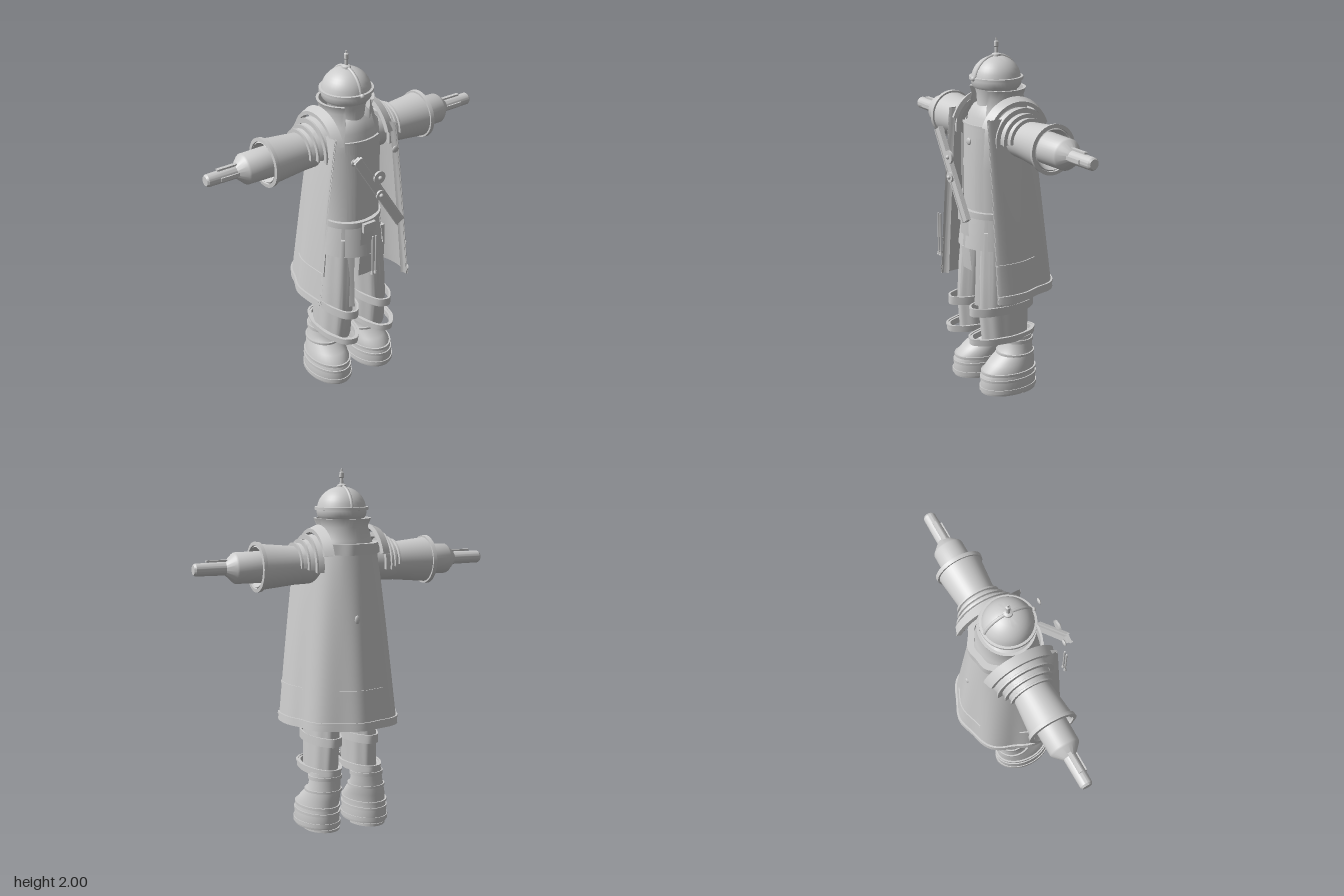
import * as THREE from 'three';
import { mergeVertices, toCreasedNormals } from 'three/addons/utils/BufferGeometryUtils.js';

const grey = new THREE.MeshStandardMaterial({ color: 0xcccccc, side: THREE.DoubleSide });
grey.name = 'light grey';

function add(parent, name, geo, x = 0, y = 0, z = 0) {
  const m = new THREE.Mesh(geo, grey);
  m.name = name;
  m.position.set(x, y, z);
  parent.add(m);
  return m;
}

// Grid surface from a rule f(u, v) -> [x, y, z]
function surface(f, nu, nv, crease = 0.7) {
  const pos = [], idx = [];
  for (let j = 0; j <= nv; j++) for (let i = 0; i <= nu; i++) pos.push(...f(i / nu, j / nv));
  for (let j = 0; j < nv; j++) for (let i = 0; i < nu; i++) {
    const a = j * (nu + 1) + i, b = a + nu + 1;
    idx.push(a, b, a + 1, b, b + 1, a + 1);
  }
  const g = new THREE.BufferGeometry();
  g.setAttribute('position', new THREE.Float32BufferAttribute(pos, 3));
  g.setIndex(idx);
  return toCreasedNormals(mergeVertices(g, 1e-5), crease);
}

// Elliptical sections [y, cx, cz, rx, rz]; the angle runs from the front (+z) towards +x
function loft(secs, t0 = 0, t1 = Math.PI * 2, ripple = 0, n = 40) {
  return surface((u, v) => {
    const [y, cx, cz, rx, rz] = secs[Math.round(v * (secs.length - 1))];
    const t = t0 + (t1 - t0) * (1 - u), k = 1 + ripple * Math.sin(t * 9);
    return [cx + rx * k * Math.sin(t), y, cz + rz * k * Math.cos(t)];
  }, n, secs.length - 1);
}
const closed = s => [[s[0][0], s[0][1], s[0][2], 0, 0], ...s, [s.at(-1)[0], s.at(-1)[1], s.at(-1)[2], 0, 0]];

// Flat-edged band with thickness around an ellipse
function band(y, h, cx, cz, rx, rz, th = 0.012, t0 = 0, t1 = Math.PI * 2, ripple = 0) {
  const o = [[-0.5, -1], [-0.5, 0], [0.5, 0], [0.5, -1], [-0.5, -1]];
  return loft(o.map(([a, b]) => [y + a * h, cx, cz, rx + b * th, rz + b * th]), t0, t1, ripple);
}

const lathe = (pts, seg = 40, p0 = 0, p1 = Math.PI * 2) =>
  toCreasedNormals(new THREE.LatheGeometry(pts.map(p => new THREE.Vector2(...p)), seg, p0, p1), 0.6);
const latheX = (...a) => lathe(...a).rotateZ(-Math.PI / 2);

export function createModel() {
  const root = new THREE.Group();
  root.name = 'cloakedFigure';

  // Helmet: dome, brim, crest and spike
  const dome = [[0, 1.735], [0.125, 1.735], [0.135, 1.75], [0.138, 1.78]];
  for (let i = 1; i <= 10; i++) {
    const a = i / 10 * Math.PI / 2;
    dome.push([0.135 * Math.cos(a), 1.78 + 0.125 * Math.sin(a)]);
  }
  add(root, 'helmetDome', lathe(dome), 0, 0, -0.01);
  add(root, 'helmetBrim', lathe([[0.13, 1.777], [0.147, 1.779], [0.147, 1.795], [0.13, 1.797]]), 0, 0, -0.01);
  add(root, 'helmetCrest', new THREE.TorusGeometry(0.133, 0.009, 8, 32, Math.PI)
    .rotateY(Math.PI / 2).scale(1, 0.95, 1), 0, 1.78, -0.01);
  add(root, 'helmetSpike', lathe([[0.026, 1.9], [0.024, 1.913], [0.01, 1.92], [0.009, 1.95], [0.013, 1.955],
    [0.012, 1.98], [0.005, 1.985], [0.004, 2], [0, 2]], 16), 0, 0, -0.01);
  add(root, 'helmetBadge', new THREE.SphereGeometry(0.014, 12, 8), 0, 1.79, 0.135);

  // Face wrap and collar
  add(root, 'faceWrap', loft([[1.58, 0, 0, 0.1, 0.11], [1.64, 0, 0, 0.085, 0.1], [1.7, 0, -0.01, 0.1, 0.11], [1.75, 0, -0.01, 0.122, 0.122]]));
  add(root, 'collar', loft([[1.54, 0, -0.02, 0.19, 0.17], [1.62, 0, -0.02, 0.16, 0.16], [1.69, 0, -0.02, 0.14, 0.14],
    [1.735, 0, -0.02, 0.16, 0.15], [1.735, 0, -0.02, 0.145, 0.135], [1.62, 0, -0.02, 0.135, 0.14]], 0.6, Math.PI * 2 - 0.6));
  add(root, 'backRoll', band(1.575, 0.06, 0, -0.02, 0.2, 0.205, 0.035, 1.7, Math.PI * 2 - 1.7, 0.025));

  // Torso, bib and belt
  add(root, 'torso', loft(closed([[0.9, 0, 0.01, 0.165, 0.16], [1.05, 0, 0.01, 0.165, 0.15], [1.3, 0, 0.01, 0.17, 0.15],
    [1.48, 0, 0, 0.19, 0.15], [1.58, 0, -0.02, 0.19, 0.15], [1.63, 0, -0.02, 0.15, 0.13], [1.66, 0, -0.02, 0.09, 0.1]])));
  add(root, 'bib', loft([[1.07, 0, 0.01, 0.175, 0.158], [1.3, 0, 0.01, 0.178, 0.16], [1.54, 0, 0, 0.19, 0.163]], -0.62, 0.62));
  add(root, 'bibTrim', band(1.54, 0.012, 0, 0, 0.194, 0.167, 0.012, -0.62, 0.62));
  add(root, 'belt', band(1.045, 0.035, 0, 0.01, 0.18, 0.175, 0.025));
  add(root, 'beltBuckle', new THREE.BoxGeometry(0.08, 0.055, 0.02), 0, 1.035, 0.205);

  // Coat skirt panels with gaps between them
  for (let i = 0; i < 8; i++) {
    const a = i * Math.PI / 4 + 0.06;
    add(root, 'skirtPanel', loft([[0.855, 0, 0.01, 0.175, 0.165], [0.855, 0, 0.015, 0.195, 0.19], [1.03, 0, 0.01, 0.175, 0.175]], a, a + 0.67, 0, 8));
  }
  add(root, 'frontFlap', loft([[0.72, 0, 0.01, 0.2, 0.17], [0.85, 0, 0.01, 0.2, 0.185], [1.03, 0, 0.01, 0.18, 0.19]], -0.25, 0.2, 0, 8));

  for (const s of [-1, 1]) {
    // Trouser leg, with shin and knee bands
    add(root, 'trouserLeg', loft(closed([[0.31, s * 0.12, 0.01, 0.088, 0.14], [0.5, s * 0.115, 0.015, 0.088, 0.155],
      [0.7, s * 0.105, 0.015, 0.09, 0.15], [0.95, s * 0.088, 0.01, 0.086, 0.14]]), 0, Math.PI * 2, 0.02, 72));
    add(root, 'kneeBand', band(0.508, 0.048, s * 0.113, 0.028, 0.092, 0.205, 0.012, 0, Math.PI * 2, 0.01));
    add(root, 'hemBand', band(0.335, 0.034, s * 0.122, 0.03, 0.1, 0.208, 0.02, 0, Math.PI * 2, 0.01));
    add(root, 'hemCord', band(0.352, 0.01, s * 0.122, 0.03, 0.106, 0.213, 0.012, 0, Math.PI * 2, 0.01));
    add(root, 'coatTail', loft([[0.53, 0, 0.01, 0.205, 0.19], [0.7, 0, 0.01, 0.2, 0.18], [0.9, 0, 0.01, 0.185, 0.17]],
      s * 0.4, s * 1.25, 0, 12));
    add(root, 'sidePouch', new THREE.BoxGeometry(0.05, 0.2, 0.1), s * 0.2, 0.8, 0);

    // Boot with ridged bands and a raised heel
    add(root, 'boot', loft(closed([[0.012, s * 0.147, 0.005, 0.115, 0.168], [0.04, s * 0.148, 0.005, 0.12, 0.172],
      [0.1, s * 0.148, 0.003, 0.113, 0.168], [0.14, s * 0.145, 0, 0.11, 0.16], [0.18, s * 0.14, -0.022, 0.105, 0.142],
      [0.22, s * 0.134, -0.05, 0.098, 0.11], [0.26, s * 0.13, -0.064, 0.09, 0.09], [0.33, s * 0.126, -0.066, 0.087, 0.086]])));
    add(root, 'soleBand', band(0.038, 0.022, s * 0.148, 0.005, 0.124, 0.177, 0.012));
    add(root, 'footBand', band(0.098, 0.014, s * 0.147, 0.003, 0.12, 0.175, 0.014));
    add(root, 'instepBand', band(0.132, 0.014, s * 0.146, 0, 0.118, 0.17, 0.016));
    add(root, 'ankleBand', band(0.226, 0.012, s * 0.134, -0.052, 0.104, 0.112, 0.016));
    add(root, 'bootCuff', band(0.3, 0.02, s * 0.128, -0.065, 0.095, 0.094, 0.014));
    add(root, 'heel', loft(closed([[0, s * 0.142, -0.035, 0.1, 0.135], [0.014, s * 0.142, -0.035, 0.1, 0.135]]), Math.PI / 2, Math.PI * 1.5));

    // Arm: flared sleeve, cuff, forearm and simple hand
    const arm = new THREE.Group();
    arm.name = s > 0 ? 'leftArm' : 'rightArm';
    arm.position.set(0, 1.487, -0.03);
    arm.rotation.y = s > 0 ? 0 : Math.PI;
    arm.position.z = -0.03;
    root.add(arm);
    add(arm, 'sleeve', latheX([[0, 0.12], [0.1, 0.12], [0.105, 0.3], [0.124, 0.5], [0.108, 0.515], [0.08, 0.45]]));
    add(arm, 'sleeveCuff', latheX([[0.112, 0.497], [0.134, 0.497], [0.136, 0.518], [0.116, 0.52], [0.112, 0.497]]));
    add(arm, 'forearm', latheX([[0.086, 0.45], [0.084, 0.635], [0.078, 0.645], [0.036, 0.69], [0.034, 0.855], [0.026, 0.866], [0, 0.866]]));
    add(arm, 'thumb', new THREE.BoxGeometry(0.14, 0.01, 0.02), 0.725, 0.042, 0);
    add(arm, 'finger', new THREE.BoxGeometry(0.12, 0.02, 0.01), 0.73, 0, s * 0.037);

    // Overlapping shoulder plates, each higher towards the neck
    [[0.285, 0.118], [0.25, 0.135], [0.215, 0.16]].forEach(([x, r], i) =>
      add(arm, 'shoulderPlate', latheX([[r - 0.02, x - 0.03], [r + 0.004, x - 0.03], [r - 0.004, x], [r + 0.006, x + 0.004],
        [r + 0.006, x + 0.014], [r - 0.02, x + 0.014], [r - 0.02, x - 0.03]], 24, Math.PI * (0.98 - i * 0.02), Math.PI * (1.04 + i * 0.04))));
    add(arm, 'neckPlate', latheX([[0.19, 0.14], [0.215, 0.145], [0.195, 0.195], [0.175, 0.195], [0.19, 0.14]], 24, Math.PI * 1.1, Math.PI * 0.8));
    add(root, 'chestButton', new THREE.SphereGeometry(0.02, 12, 8).scale(1, 1, 0.4), s * 0.135, 1.49, 0.25);
    add(root, 'suspender', loft([[1.08, 0, 0.01, 0.182, 0.168], [1.3, 0, 0.01, 0.186, 0.17], [1.48, 0, 0, 0.196, 0.175]],
      s * 0.36, s * 0.62, 0, 6));
  }

  // Cape: a horseshoe cross-section that widens to the hem
  const curve = new THREE.CatmullRomCurve3([[-0.9, 0.93], [-1, 1], [-0.98, 0.6], [-0.85, 0.3], [-0.45, 0.06], [0, 0],
    [0.45, 0.06], [0.85, 0.3], [0.98, 0.6], [1, 1], [0.9, 0.93]].map(p => new THREE.Vector3(p[0], 0, p[1])));
  const capeAt = (u, y, off = 0) => {
    const p = curve.getPoint(u), d = (1.62 - y) / 1.02;
    const w = 0.195 + 0.12 * d ** 0.85, back = -0.205 - 0.11 * d;
    const fold = 0.009 * d * Math.sin(u * 40);
    return [p.x * (w + off + fold), y, back - off - fold * (1 - p.z) + p.z * (0.17 + off - back)];
  };
  const capeBand = (y, h, th, u0 = 0, u1 = 1) => {
    const o = [[-0.5, -0.004], [-0.5, th], [0.5, th], [0.5, -0.004], [-0.5, -0.004]];
    return surface((u, v) => {
      const [a, b] = o[Math.round(v * 4)];
      return capeAt(u0 + (u1 - u0) * u, y + a * h, b);
    }, 80, 4);
  };
  add(root, 'cape', surface((u, v) => capeAt(u, 0.6 + v * 1.0), 90, 14));
  add(root, 'capeLining', surface((u, v) => capeAt(u, 0.6 + v * 1.0, -0.008), 90, 14));
  add(root, 'capeHem', capeBand(0.618, 0.034, 0.005));
  add(root, 'capeHemCord', capeBand(0.64, 0.012, 0.01));
  for (const [a, b] of [[0.05, 0.25], [0.4, 0.6], [0.75, 0.95]]) add(root, 'capeStripe', capeBand(0.815, 0.01, 0.006, a, b));
  add(root, 'capePatch', new THREE.SphereGeometry(0.022, 10, 8).scale(0.7, 1.1, 0.4), 0.02, 1.2, -0.252);

  // Shoulder strap standing off the chest, with buckles
  const strap = new THREE.Group();
  strap.name = 'shoulderStrap';
  strap.position.set(0.01, 1.285, 0.28);
  strap.rotation.z = 0.56;
  root.add(strap);
  add(strap, 'strap', new THREE.BoxGeometry(0.055, 0.54, 0.012));
  add(strap, 'strapBacking', new THREE.BoxGeometry(0.038, 0.54, 0.012), 0, 0, -0.014);
  for (const x of [-0.024, 0.024]) add(strap, 'strapEdge', new THREE.BoxGeometry(0.006, 0.54, 0.006), x, 0, 0.009);
  for (const [x, y, r] of [[0, 1.38, 0.036], [0.01, 1.27, 0.028]]) {
    add(root, 'buckleDisc', new THREE.CylinderGeometry(r, r, 0.012, 24).rotateX(Math.PI / 2), x, y, 0.292);
    add(root, 'buckleStud', new THREE.SphereGeometry(0.012, 12, 8), x, y, 0.3);
  }

  // Hanging rods in front of the belt
  for (const x of [-0.065, -0.043]) {
    add(root, 'hangingRod', new THREE.CylinderGeometry(0.005, 0.005, 0.23, 10), x, 0.94, 0.326);
    add(root, 'rodTip', new THREE.CylinderGeometry(0.006, 0.01, 0.018, 10), x, 0.825, 0.326);
  }
  return root;
}
